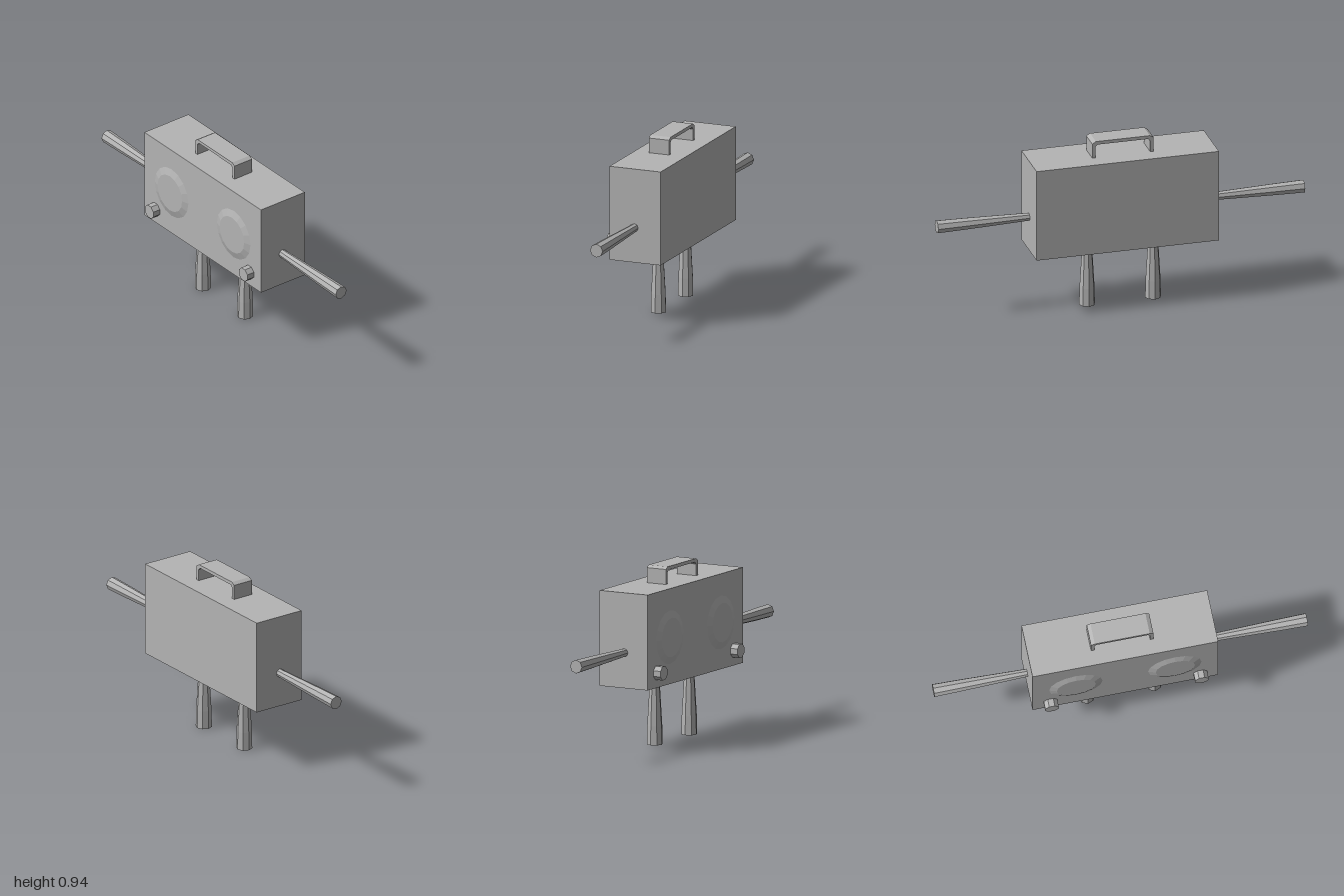
import * as THREE from 'three';

export function createModel() {
  const group = new THREE.Group();
  group.name = 'boombox';
  const grey = new THREE.MeshStandardMaterial({ color: 0xb4b4b4, flatShading: true });
  grey.name = 'plain grey';

  const add = (name, geometry, x, y, z) => {
    const mesh = new THREE.Mesh(geometry, grey);
    mesh.name = name;
    mesh.position.set(x, y, z);
    group.add(mesh);
    return mesh;
  };

  // Closed eight-sided limb, from its wide end upwards
  const limb = (points) => new THREE.LatheGeometry(
    points.map(([r, y]) => new THREE.Vector2(r, y)), 8);

  // Main case
  add('body', new THREE.BoxGeometry(0.994, 0.508, 0.292), 0, 0.599, -0.021);

  // Carry handle: a bent strap with chamfered corners
  const w = 0.167, h = 0.095, c = 0.02, t = 0.018;
  const strap = new THREE.Shape([
    [-w, 0], [-w + t, 0], [-w + t, h - t - 0.012], [-w + t + 0.012, h - t],
    [w - t - 0.012, h - t], [w - t, h - t - 0.012], [w - t, 0], [w, 0],
    [w, h - 0.012], [w - c, h], [-w + c, h], [-w, h - 0.012],
  ].map(([x, y]) => new THREE.Vector2(x, y)));
  add('handle', new THREE.ExtrudeGeometry(strap, { depth: 0.116, bevelEnabled: false }),
    0, 0.85, -0.073);

  for (const side of [-1, 1]) {
    const prefix = side > 0 ? 'left' : 'right';

    // Raised speaker with a sloping rim
    const speaker = new THREE.CylinderGeometry(0.105, 0.143, 0.012, 16);
    speaker.rotateX(Math.PI / 2);
    add(prefix + 'Speaker', speaker, side * 0.265, 0.594, 0.131);

    // Dial
    const dial = new THREE.CylinderGeometry(0.039, 0.039, 0.046, 8);
    dial.rotateY(Math.PI / 8).rotateX(Math.PI / 2);
    add(prefix + 'Dial', dial, side * 0.401, 0.426, 0.145);

    // Arm, widening towards the hand
    const arm = limb([[0, 0], [0.036, 0], [0.033, 0.15], [0.022, 0.51], [0, 0.51]]);
    arm.rotateZ(side * Math.PI / 2);
    add(prefix + 'Arm', arm, side, 0.534, -0.017);

    // Leg, widening towards the foot
    const leg = limb([[0, 0], [0.043, 0], [0.041, 0.1], [0.026, 0.35], [0, 0.35]]);
    add(prefix + 'Leg', leg, side * 0.18, 0, -0.017);
  }
  return group;
}
